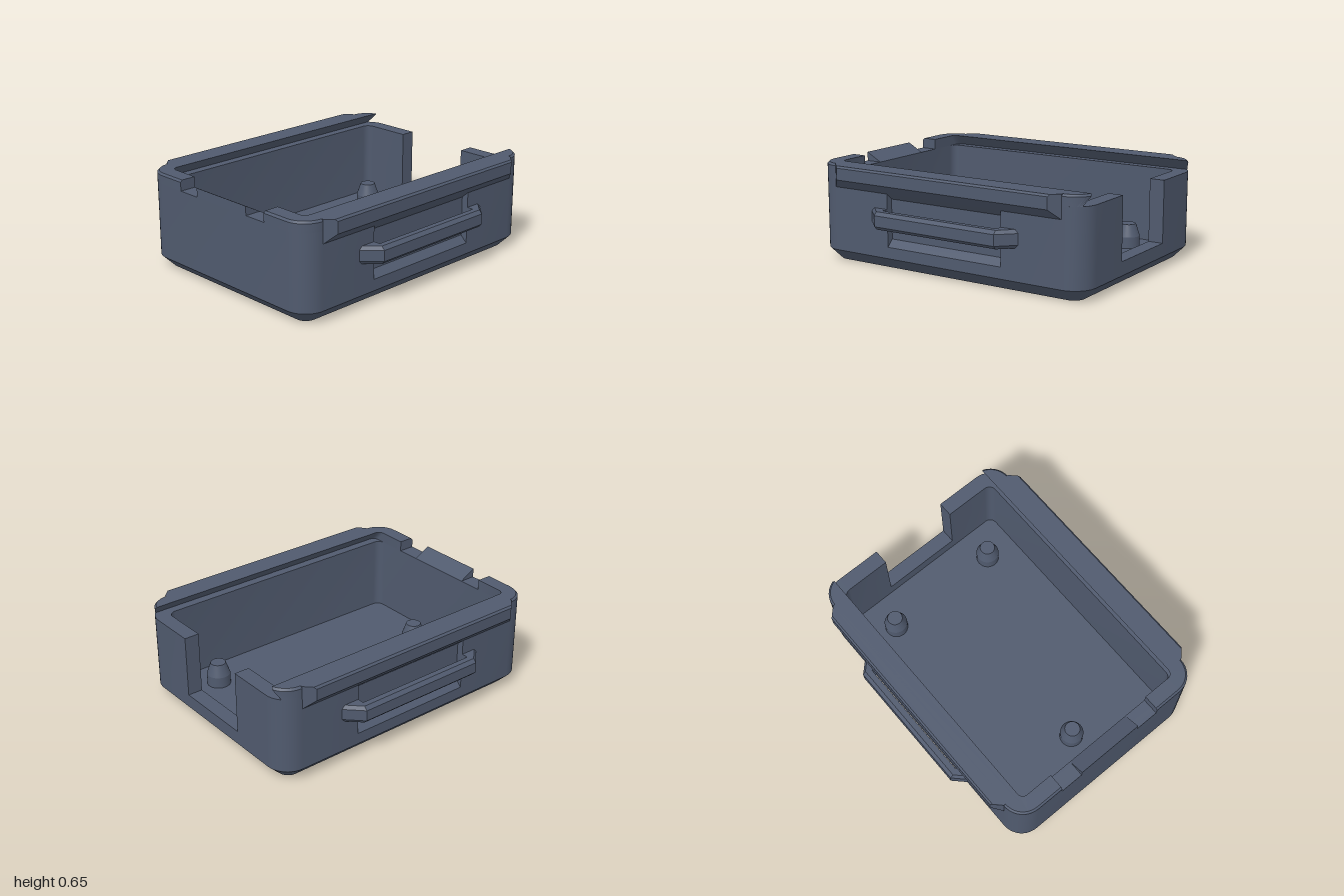
import * as THREE from 'three';
import { toCreasedNormals } from 'three/addons/utils/BufferGeometryUtils.js';

const W = 0.73, R = 0.15;                 // half width and corner radius of the case (half depth is 1)
const CX = W - R, CZ = 1 - R;             // corner centre

// Arc in the xz plane
function arc(cx, cz, r, a0, a1, n = 10) {
  return Array.from({ length: n + 1 }, (_, i) => {
    const a = a0 + (a1 - a0) * i / n;
    return [cx + r * Math.cos(a), cz + r * Math.sin(a)];
  });
}
const mirrored = pts => pts.map(([x, z]) => [-x, z]).reverse();

// Closed solid through horizontal sections: [{ y, pts: [[x, z], ...] }, ...]
function loft(sections) {
  const contours = sections.map(s => s.pts.map(p => new THREE.Vector2(p[0], p[1])));
  if (THREE.ShapeUtils.area(contours[0]) < 0) contours.forEach(c => c.reverse());
  const pos = [];
  const put = (k, i) => pos.push(contours[k][i].x, sections[k].y, contours[k][i].y);
  const n = contours[0].length, last = sections.length - 1;
  for (let k = 0; k < last; k++) {
    for (let i = 0; i < n; i++) {
      const j = (i + 1) % n;
      put(k, i); put(k + 1, i); put(k, j);
      put(k, j); put(k + 1, i); put(k + 1, j);
    }
  }
  for (const k of [0, last]) {
    const c = contours[k];
    for (const [a, b, d] of THREE.ShapeUtils.triangulateShape(c, [])) {
      const ccw = THREE.ShapeUtils.area([c[a], c[b], c[d]]) > 0;
      const order = ccw === (k === 0) ? [a, b, d] : [a, d, b];
      order.forEach(i => put(k, i));
    }
  }
  const g = new THREE.BufferGeometry();
  g.setAttribute('position', new THREE.Float32BufferAttribute(pos, 3));
  return toCreasedNormals(g, 0.5);
}

// Right half of the outer outline, back to front
function outerHalf(inset) {
  const r = R - inset;
  return [...arc(CX, -CZ, r, -Math.PI / 2, 0), ...arc(CX, CZ, r, 0, Math.PI / 2)];
}

// One half of the top rim; h is the distance of its undercut inner face from the middle
function rimHalf(h, inset) {
  const r = R - inset;
  const end = Math.acos((h - CX) / r);
  return [
    [0.39, 1 - inset],
    ...arc(CX, CZ, r, Math.PI / 2, 0),
    ...arc(CX, -CZ, r, 0, -end),
    ...arc(h - 0.04, 0.85, 0.04, 0, Math.PI / 2, 5),
    [0.39, 0.89],
  ];
}

// Side rail outline reaching out to x
function railSection(x) {
  const e = 0.85 - (x - W);
  return [[0.7, -0.85], [W, -0.85], [x, -e], [x, e], [W, 0.85], [0.7, 0.85]];
}

// Strap loop outline: a bar on two legs
function loopSection(inset) {
  const x = 0.835 - inset, e = 0.45, e0 = 0.565 - inset;
  return [[0.72, -e0], [x, -e], [x, e], [0.72, e0],
    [0.72, 0.43], [0.775, 0.43], [0.775, -0.43], [0.72, -0.43]];
}

// Block between the recess back and outer x
const fillSection = x => [[0.66, -0.43], [x, -0.43], [x, 0.43], [0.66, 0.43]];

export function createModel() {
  const model = new THREE.Group();
  const slate = new THREE.MeshStandardMaterial({ color: 0x505a6e });
  slate.name = 'slateGrey';

  const add = (name, geometry, parent = model) => {
    const m = new THREE.Mesh(geometry, slate);
    m.name = name;
    parent.add(m);
    return m;
  };

  // Chamfered base; its top is the cavity floor
  const full = inset => {
    const half = outerHalf(inset);
    return [...half, ...mirrored(half)];
  };
  add('base', loft([{ y: 0, pts: full(0.08) }, { y: 0.08, pts: full(0) }]));

  // Walls, open at the back, with a shallow recess in each side
  const outer = [
    [0.27, -1],
    ...arc(CX, -CZ, R, -Math.PI / 2, 0),
    [W, -0.43], [0.685, -0.43], [0.685, 0.43], [W, 0.43],
    ...arc(CX, CZ, R, 0, Math.PI / 2),
  ];
  const inner = [
    [0.27, -0.9],
    ...arc(0.57, -0.85, 0.05, -Math.PI / 2, 0, 5),
    ...arc(0.57, 0.84, 0.05, 0, Math.PI / 2, 5),
  ];
  const wall = [...outer, ...mirrored(outer), ...mirrored(inner).reverse(), ...[...inner].reverse()];
  add('walls', loft([{ y: 0.08, pts: wall }, { y: 0.58, pts: wall }]));

  // Sill of the back opening
  add('backSill', new THREE.BoxGeometry(0.54, 0.09, 0.1)).position.set(0, 0.125, -0.95);

  // Parts that repeat on both sides
  for (const side of [1, -1]) {
    const group = new THREE.Group();
    group.name = side > 0 ? 'leftSide' : 'rightSide';
    model.add(group);
    const solid = (name, levels) => add(name, loft(levels.map(([y, pts]) => ({
      y, pts: side > 0 ? pts : mirrored(pts),
    }))), group);

    solid('recessLowerSlope', [
      [0.08, fillSection(W)], [0.155, fillSection(W)], [0.2, fillSection(0.685)],
    ]);
    solid('recessUpperSlope', [
      [0.46, fillSection(0.685)], [0.5, fillSection(W)], [0.58, fillSection(W)],
    ]);
    solid('lidRim', [
      [0.58, rimHalf(0.68, 0)], [0.637, rimHalf(0.631, 0)], [0.65, rimHalf(0.62, 0.013)],
    ]);
    solid('sideRail', [
      [0.5, railSection(0.731)], [0.56, railSection(0.79)],
      [0.637, railSection(0.79)], [0.65, railSection(0.778)],
    ]);
    solid('strapLoop', [
      [0.285, loopSection(0.022)], [0.307, loopSection(0)],
      [0.378, loopSection(0)], [0.4, loopSection(0.022)],
    ]);
  }

  // Sloped catch in the middle of the front wall
  const wedge = new THREE.Shape([[-0.89, 0.58], [-1, 0.64], [-1, 0.58]].map(p => new THREE.Vector2(...p)));
  const catchGeometry = new THREE.ExtrudeGeometry(wedge, { depth: 0.46, bevelEnabled: false });
  catchGeometry.rotateY(Math.PI / 2).translate(-0.23, 0, 0);
  add('frontCatch', catchGeometry);

  // Tapered locating posts on the floor
  const profile = [[0.077, 0.07], [0.077, 0.155], [0.05, 0.235], [0, 0.235]]
    .map(p => new THREE.Vector2(...p));
  const post = toCreasedNormals(new THREE.LatheGeometry(profile, 32), 0.3);
  for (const [x, z] of [[-0.405, -0.68], [0.405, -0.68], [0, 0.675]]) {
    add('locatingPost', post).position.set(x, 0, z);
  }

  return model;
}
